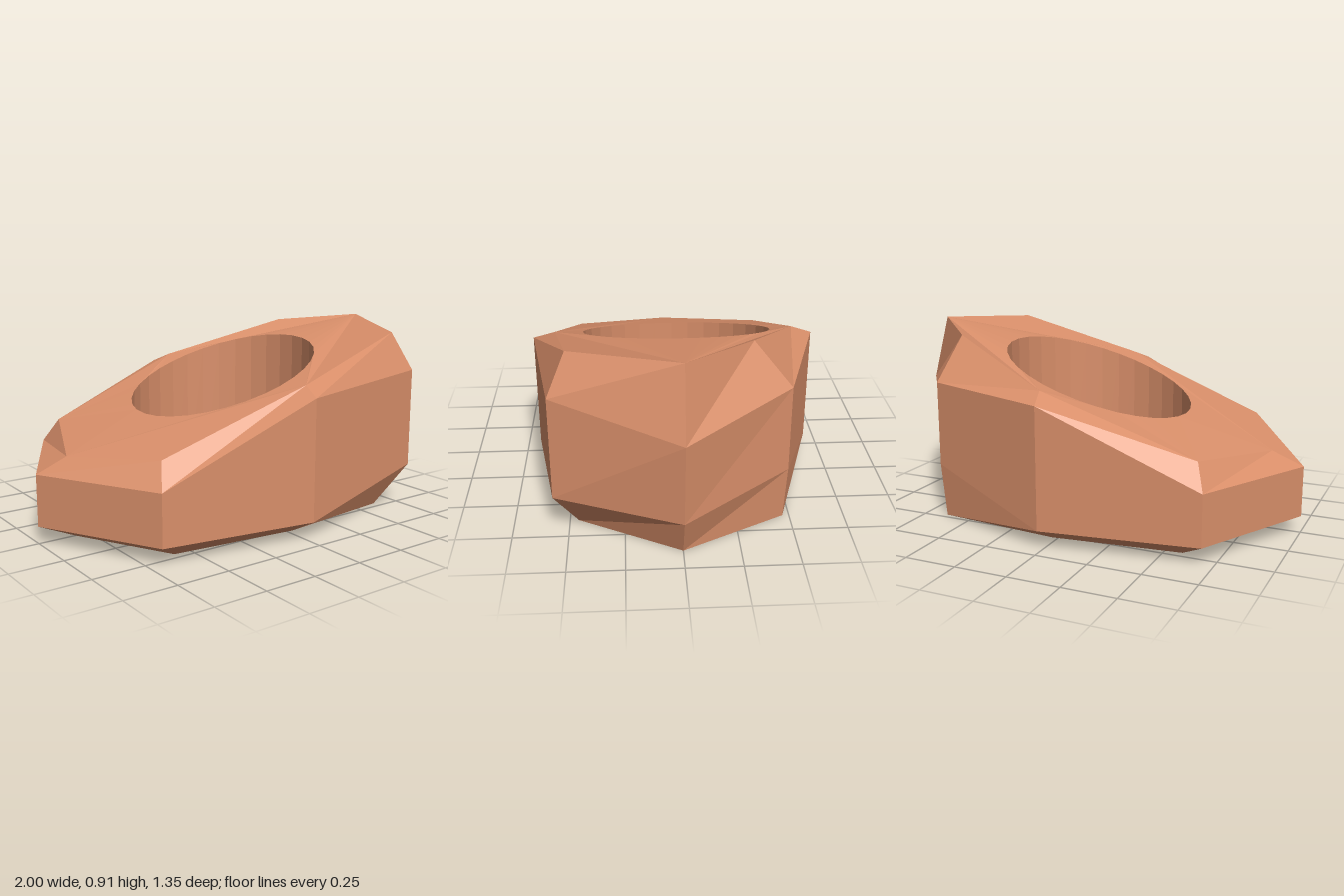
import * as THREE from 'three';

// Each column of the faceted body, counter-clockwise seen from above:
// four points [x, y, z]: base, lower edge, upper edge, top rim
const COLUMNS = [
  [[0.88, 0, 0], [0.96, 0.19, 0], [1.0, 0.585, 0], [0.91, 0.91, 0]],
  [[0.64, 0, -0.47], [0.66, 0.26, -0.48], [0.66, 0.665, -0.48], [0.62, 0.872, -0.31]],
  [[0.03, 0, -0.53], [0.03, 0.08, -0.675], [0.03, 0.65, -0.675], [0.06, 0.695, -0.57]],
  [[-0.58, 0, -0.46], [-0.7, 0.08, -0.57], [-0.7, 0.32, -0.57], [-0.65, 0.435, -0.49]],
  [[-0.82, 0, 0], [-1.0, 0.08, 0], [-1.0, 0.32, 0], [-0.85, 0.38, 0]],
  [[-0.58, 0, 0.46], [-0.7, 0.08, 0.56], [-0.7, 0.32, 0.56], [-0.65, 0.435, 0.48]],
  [[0.03, 0, 0.53], [0.03, 0.08, 0.675], [0.03, 0.65, 0.675], [0.06, 0.69, 0.57]],
  [[0.63, 0, 0.46], [0.76, 0.21, 0.56], [0.76, 0.69, 0.56], [0.69, 0.873, 0.48]],
];
const HOLE = { x: 0.02, z: -0.015, r: 0.452, sides: 32 };
const slope = (x) => 0.665 + 0.335 * x; // sloping top surface

function holeRing(height) {
  return Array.from({ length: HOLE.sides }, (_, i) => {
    const a = (i / HOLE.sides) * Math.PI * 2;
    const x = HOLE.x + HOLE.r * Math.cos(a);
    return [x, height(x), HOLE.z - HOLE.r * Math.sin(a)];
  });
}

// Quads between two closed rings, facing outward (or inward)
function addBand(out, low, high, inward = false) {
  low.forEach((a, i) => {
    const j = (i + 1) % low.length;
    const b = low[j], c = high[j], d = high[i];
    if (inward) out.push(b, a, d, b, d, c);
    else out.push(a, b, c, a, c, d);
  });
}

// Flat ring between an outline and the hole, facing up or down
function addCap(out, outline, hole, up) {
  const flat = (ring) => ring.map(([x, , z]) => new THREE.Vector2(x, -z));
  const points = [...outline, ...hole];
  for (const [i, j, k] of THREE.ShapeUtils.triangulateShape(flat(outline), [flat(hole)])) {
    const [a, b, c] = [points[i], points[j], points[k]];
    const facesUp = THREE.ShapeUtils.area(flat([a, b, c])) > 0;
    if (facesUp === up) out.push(a, b, c);
    else out.push(a, c, b);
  }
}

function makeMesh(name, vertices, material) {
  const geometry = new THREE.BufferGeometry();
  geometry.setAttribute('position', new THREE.Float32BufferAttribute(vertices.flat(), 3));
  geometry.computeVertexNormals();
  const mesh = new THREE.Mesh(geometry, material);
  mesh.name = name;
  return mesh;
}

export function createModel() {
  const group = new THREE.Group();
  group.name = 'facetedNut';
  const material = new THREE.MeshStandardMaterial({ color: 0xd98f6a, flatShading: true });
  const rings = [0, 1, 2, 3].map((level) => COLUMNS.map((column) => column[level]));
  const holeBottom = holeRing(() => 0);
  const holeTop = holeRing(slope);

  // Bevelled outer walls
  const walls = [];
  for (let i = 0; i < 3; i++) addBand(walls, rings[i], rings[i + 1]);
  group.add(makeMesh('outerWalls', walls, material));

  // Sloping top and flat base, both pierced by the hole
  const top = [], base = [];
  addCap(top, rings[3], holeTop, true);
  addCap(base, rings[0], holeBottom, false);
  group.add(makeMesh('slopingTop', top, material));
  group.add(makeMesh('base', base, material));

  // Inside of the round hole
  const bore = [];
  addBand(bore, holeBottom, holeTop, true);
  group.add(makeMesh('holeWall', bore, material));

  return group;
}
